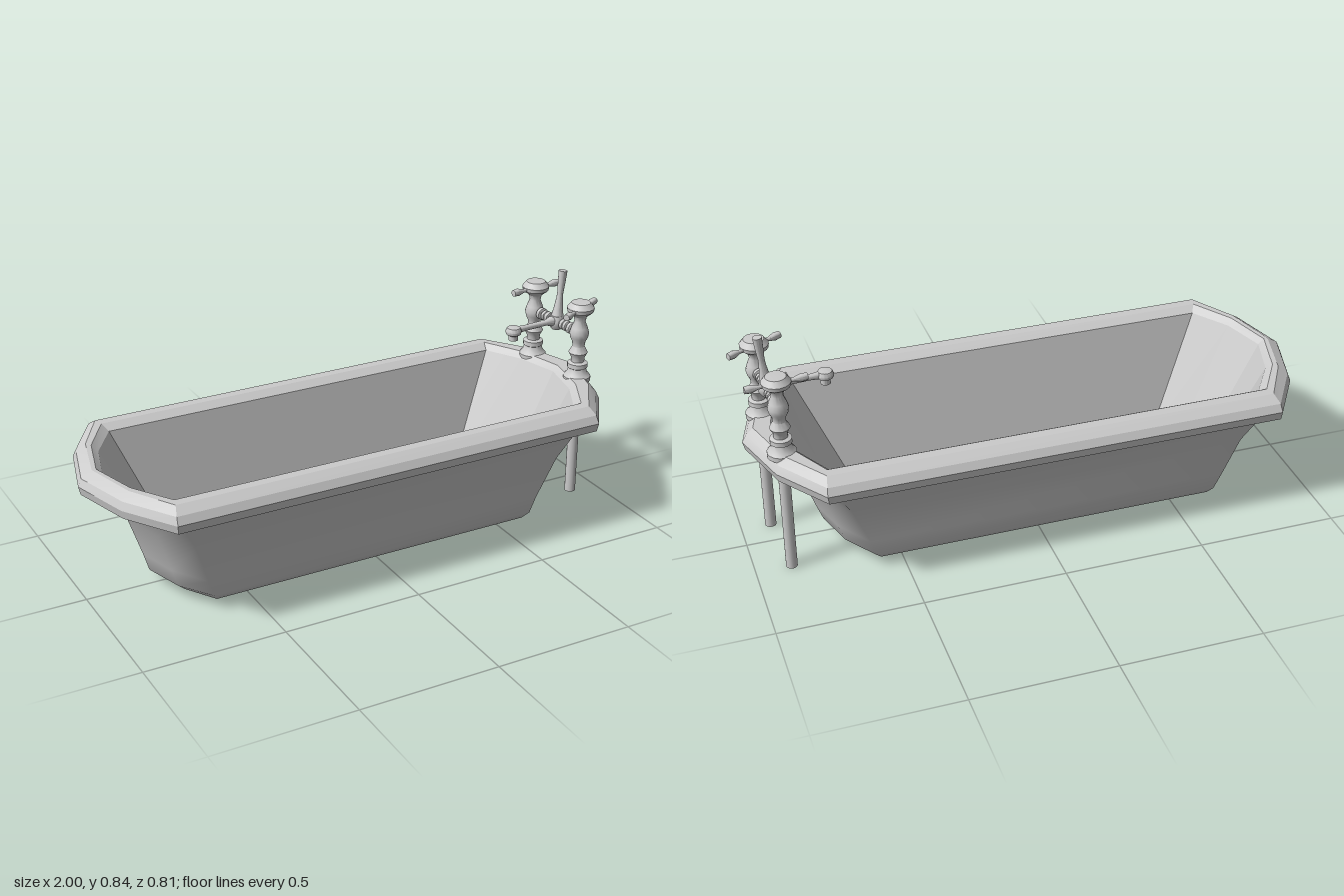
import * as THREE from 'three';
import { toCreasedNormals } from 'three/addons/utils/BufferGeometryUtils.js';

const material = new THREE.MeshStandardMaterial({ color: 0xcccccc });

function addMesh(parent, name, geometry) {
  const mesh = new THREE.Mesh(geometry, material);
  mesh.name = name;
  parent.add(mesh);
  return mesh;
}

// Ten-sided plan outline: straight long sides, three-cornered ends.
function outline([xl, xr, cl, cr, z, y]) {
  const ml = xl + 0.35 * (cl - xl), mr = xr + 0.35 * (cr - xr), mz = 0.55 * z;
  return [
    [xl, y, 0], [ml, y, mz], [cl, y, z], [cr, y, z], [mr, y, mz],
    [xr, y, 0], [mr, y, -mz], [cr, y, -z], [cl, y, -z], [ml, y, -mz],
  ];
}

// Skin over a list of outlines, optionally closed at the first or last one.
function loft(rings, cap) {
  const points = rings.flatMap(outline), n = 10, index = [];
  for (let i = 0; i < rings.length - 1; i++) {
    for (let j = 0; j < n; j++) {
      const a = i * n + j, b = i * n + (j + 1) % n;
      index.push(a, b, b + n, a, b + n, a + n);
    }
  }
  if (cap) {
    const [xl, xr, , , , y] = cap === 'first' ? rings[0] : rings[rings.length - 1];
    const start = cap === 'first' ? 0 : (rings.length - 1) * n;
    points.push([(xl + xr) / 2, y, 0]);
    for (let j = 0; j < n; j++) {
      const a = start + j, b = start + (j + 1) % n;
      index.push(points.length - 1, ...(cap === 'first' ? [b, a] : [a, b]));
    }
  }
  const geometry = new THREE.BufferGeometry();
  geometry.setAttribute('position', new THREE.Float32BufferAttribute(points.flat(), 3));
  geometry.setIndex(index);
  geometry.computeVertexNormals();
  return geometry;
}

// Turned part from [radius, height] pairs.
function turned(profile, sides = 16) {
  const lathe = new THREE.LatheGeometry(profile.map(([r, y]) => new THREE.Vector2(r, y)), sides);
  return toCreasedNormals(lathe, 0.7);
}

function buildTub(group) {
  // Each outline: left end, right end, left corner, right corner, half width, height
  const shell = [
    [-0.6, 0.56, -0.56, 0.52, 0.16, 0.003],
    [-0.68, 0.63, -0.6, 0.55, 0.205, 0.01],
    [-0.735, 0.69, -0.63, 0.58, 0.245, 0.027],
    [-0.77, 0.725, -0.645, 0.6, 0.265, 0.053],
    [-0.79, 0.75, -0.67, 0.62, 0.276, 0.12],
    [-0.84, 0.8, -0.72, 0.68, 0.302, 0.27],
    [-0.92, 0.89, -0.79, 0.75, 0.342, 0.397],
  ];
  addMesh(group, 'tubShell', loft(shell, 'first'));

  const rim = [
    [-0.92, 0.89, -0.79, 0.75, 0.342, 0.397],
    [-0.993, 0.972, -0.818, 0.775, 0.4, 0.395],
    [-1, 0.98, -0.82, 0.78, 0.405, 0.425],
    [-0.988, 0.965, -0.817, 0.777, 0.39, 0.452],
    [-0.95, 0.94, -0.805, 0.768, 0.355, 0.475],
    [-0.935, 0.88, -0.795, 0.76, 0.32, 0.475],
    [-0.915, 0.86, -0.78, 0.75, 0.29, 0.455],
  ];
  addMesh(group, 'rolledRim', toCreasedNormals(loft(rim), 0.4));

  const inside = [
    [-0.915, 0.86, -0.78, 0.75, 0.29, 0.455],
    [-0.7, 0.65, -0.6, 0.56, 0.2, 0.03],
  ];
  addMesh(group, 'basin', toCreasedNormals(loft(inside, 'last'), 0.2));
}

function buildTap(parent, z, handleAngle) {
  const tap = new THREE.Group();
  tap.name = 'tap';
  tap.position.z = z;
  parent.add(tap);

  addMesh(tap, 'supplyPipe', new THREE.CylinderGeometry(0.02, 0.02, 0.45, 16)).position.y = 0.225;
  addMesh(tap, 'tapColumn', turned([
    [0, 0.455], [0.05, 0.455], [0.05, 0.472], [0.038, 0.485], [0.032, 0.503],
    [0.037, 0.506], [0.037, 0.523], [0.024, 0.528], [0.025, 0.545], [0.035, 0.564],
    [0.022, 0.588], [0.024, 0.605], [0.032, 0.622], [0.036, 0.64], [0.03, 0.66],
    [0.02, 0.685], [0.024, 0.704], [0.048, 0.724], [0.05, 0.738], [0.035, 0.757], [0, 0.759],
  ]));

  // Cross bar with swollen ends
  const lever = addMesh(tap, 'tapHandle', turned([
    [0, -0.108], [0.012, -0.106], [0.014, -0.085], [0.007, -0.06], [0.008, 0],
    [0.007, 0.06], [0.014, 0.085], [0.012, 0.106], [0, 0.108],
  ], 12));
  lever.rotation.set(0, handleAngle, -Math.PI / 2);
  lever.position.y = 0.73;
}

function buildMixer(group) {
  const mixer = new THREE.Group();
  mixer.name = 'mixerTaps';
  mixer.position.set(0.885, 0, -0.03);
  mixer.rotation.y = 0.08;
  group.add(mixer);

  buildTap(mixer, 0.13, 0.38);
  buildTap(mixer, -0.13, 0.03);

  // Ringed connecting pipes on both sides of the mixing body
  for (const side of [-1, 1]) {
    const pipe = addMesh(mixer, 'connectingPipe', turned([
      [0.013, 0], [0.013, 0.034], [0.02, 0.036], [0.02, 0.05], [0.014, 0.053],
      [0.02, 0.056], [0.02, 0.068], [0.013, 0.071], [0.013, 0.076], [0.022, 0.079],
      [0.022, 0.093], [0.015, 0.098], [0.018, 0.12],
    ]));
    pipe.rotation.x = side * Math.PI / 2;
    pipe.position.y = 0.641;
  }

  // Mixing body with a flared riser
  addMesh(mixer, 'mixingBody', turned([
    [0, 0.608], [0.018, 0.612], [0.029, 0.628], [0.03, 0.645], [0.023, 0.664], [0, 0.67],
  ]));
  const riser = addMesh(mixer, 'riser', turned([
    [0.023, 0], [0.018, 0.025], [0.012, 0.07], [0.011, 0.09],
    [0.014, 0.13], [0.016, 0.175], [0, 0.175],
  ]));
  riser.position.set(0.002, 0.66, 0);
  riser.rotation.z = -0.09;

  // Horizontal spout and its downward outlet
  const spout = addMesh(mixer, 'spout', turned([
    [0.018, 0], [0.018, 0.03], [0.011, 0.05], [0.011, 0.15], [0.015, 0.2],
  ]));
  spout.rotation.z = Math.PI / 2;
  spout.position.y = 0.645;
  addMesh(mixer, 'spoutOutlet', turned([
    [0, 0.61], [0.017, 0.61], [0.017, 0.628], [0.027, 0.634], [0.03, 0.645],
    [0.024, 0.658], [0, 0.663],
  ])).position.x = -0.2;
}

export function createModel() {
  const model = new THREE.Group();
  model.name = 'bathtub';
  buildTub(model);
  buildMixer(model);
  return model;
}
